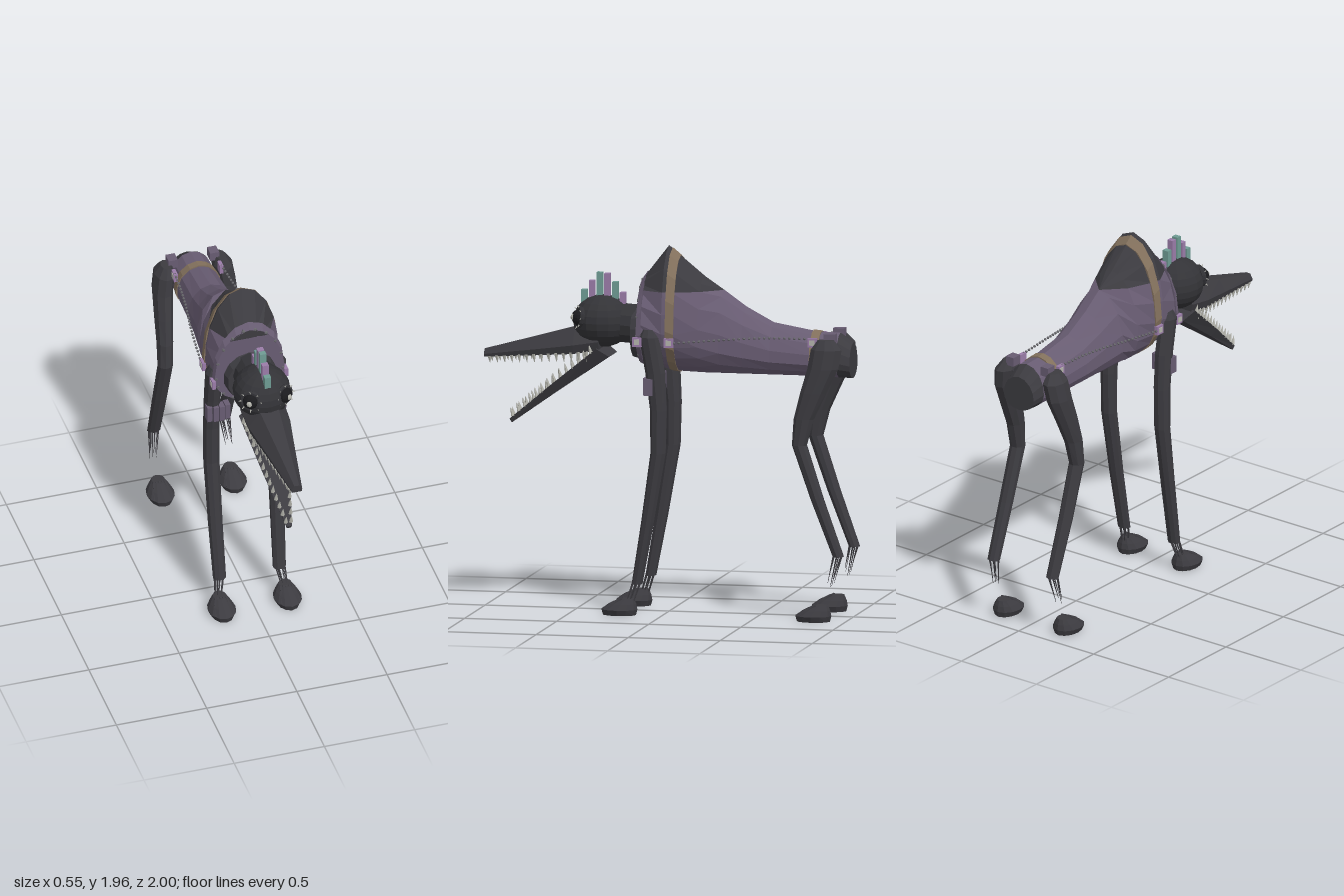
import * as THREE from 'three';

const mat = (name, color) => {
  const m = new THREE.MeshStandardMaterial({ color });
  m.name = name;
  return m;
};
const V = (x, y, z) => new THREE.Vector3(x, y, z);

export function createModel() {
  const root = new THREE.Group();
  root.name = 'longBeakedBeast';
  const dark = mat('charcoal', 0x3c3b40), head = mat('dark slate', 0x333337), purple = mat('dusty purple', 0x685c72);
  const tan = mat('leather tan', 0x82705c), bone = mat('bone', 0xb4b4ac), teal = mat('teal', 0x6f9c94);
  const lilac = mat('lilac', 0x9a7ca8), black = mat('eye black', 0x1b1b1e), metal = mat('stud grey', 0x66666a);

  const add = (name, geo, m, parent = root) => {
    const g = geo.index ? geo.toNonIndexed() : geo;
    g.computeVertexNormals();
    const mesh = new THREE.Mesh(g, m);
    mesh.name = name;
    parent.add(mesh);
    return mesh;
  };
  // closed solid through a list of equal-length rings, turned outward by its signed volume
  const loft = (rings) => {
    const n = rings[0].length, pts = rings.flat(), idx = [];
    for (let i = 0; i < rings.length - 1; i++) for (let j = 0; j < n; j++) {
      const a = i * n + j, b = i * n + (j + 1) % n;
      idx.push(a, b, b + n, a, b + n, a + n);
    }
    const last = (rings.length - 1) * n;
    for (let j = 1; j < n - 1; j++) idx.push(0, j + 1, j, last, last + j, last + j + 1);
    let vol = 0;
    for (let i = 0; i < idx.length; i += 3)
      vol += pts[idx[i]].dot(pts[idx[i + 1]].clone().cross(pts[idx[i + 2]]));
    if (vol < 0) idx.reverse();
    return new THREE.BufferGeometry().setFromPoints(pts).setIndex(idx);
  };
  // tapered rod between two points
  const rod = (name, a, b, ra, rb, m, parent, sides = 5) => {
    const d = b.clone().sub(a);
    const mesh = add(name, new THREE.CylinderGeometry(rb, ra, d.length(), sides), m, parent);
    mesh.position.copy(a).addScaledVector(d, 0.5);
    mesh.quaternion.setFromUnitVectors(V(0, 1, 0), d.normalize());
  };
  const box = (name, w, h, d, x, y, z, m, parent) =>
    add(name, new THREE.BoxGeometry(w, h, d), m, parent).position.set(x, y, z);

  // torso profile: z, top, bottom, half width
  const keys = [[0.14, 1.78, 1.33, 0.19], [0, 1.96, 1.3, 0.2], [-0.05, 1.92, 1.29, 0.198], [-0.19, 1.8, 1.285, 0.178],
    [-0.3, 1.73, 1.285, 0.16], [-0.42, 1.645, 1.285, 0.142], [-0.57, 1.565, 1.285, 0.128], [-0.8, 1.525, 1.285, 0.12],
    [-0.93, 1.52, 1.28, 0.115], [-1, 1.47, 1.28, 0.1]];
  const profile = (z) => {
    let i = 0;
    while (i < keys.length - 2 && z < keys[i + 1][0]) i++;
    const t = (keys[i][0] - z) / (keys[i][0] - keys[i + 1][0]);
    return keys[i].map((v, k) => THREE.MathUtils.lerp(v, keys[i + 1][k], t));
  };
  const around = (z, a, grow = 0) => {
    const [, top, bottom, half] = profile(z);
    const cy = bottom + (top - bottom) * 0.34 + 0.01, c = Math.cos(a);
    return V((half + grow) * Math.sin(a), cy + c * ((c > 0 ? top - cy : cy - bottom) + grow), z);
  };
  const seam = (z) => {
    const [, top, bottom] = profile(z), cy = bottom + (top - bottom) * 0.34 + 0.01;
    return Math.acos(Math.min(1, (1.73 - cy) / (top - cy)));
  };
  const arc = (z, from, to, n, closed, grow) =>
    Array.from({ length: n }, (_, i) => around(z, from + (to - from) * i / (closed ? n : n - 1), grow));
  const ring = (z, grow) => arc(z, 0, Math.PI * 2, 16, true, grow);
  const zs = keys.map((k) => k[0]);
  add('torso', loft(zs.slice(0, 9).map((z) => arc(z, seam(z), Math.PI * 2 - seam(z), 15))), purple);
  add('hump', loft(zs.slice(0, 5).map((z) => arc(z, -seam(z), seam(z), 7))), dark);
  add('pelvis', loft([ring(-0.93, 0), ring(-1, 0)]), dark);
  add('chestCollar', loft([ring(0.115, 0.008), ring(0.14, 0.004)]), purple);
  add('shoulderStrap', loft([ring(-0.02, 0.006), ring(-0.065, 0.006)]), tan);
  add('rearStrap', loft([ring(-0.785, 0.006), ring(-0.83, 0.006)]), tan);

  // collar studs and neck
  for (let i = 0; i < 18; i++) {
    const p = around(0.135, (i + 0.5) / 18 * Math.PI * 2, -0.005);
    add('collarStud', new THREE.IcosahedronGeometry(0.011, 0), metal).position.copy(p);
  }
  rod('neckBase', V(0, 1.49, 0.12), V(0, 1.49, 0.185), 0.15, 0.135, dark, root, 14);
  rod('neck', V(0, 1.53, 0.15), V(0, 1.54, 0.28), 0.105, 0.105, head, root, 12);

  // head and crest
  const skull = add('skull', new THREE.SphereGeometry(1, 16, 12), head);
  skull.scale.set(0.155, 0.14, 0.16);
  skull.position.set(0, 1.545, 0.36);
  [1.71, 1.76, 1.805, 1.8, 1.755, 1.7].forEach((top, i) =>
    box('crestBar', 0.035, top - 1.64, 0.03, 0, (top + 1.64) / 2, 0.46 - i * 0.042, i % 2 ? lilac : teal));

  // upper beak: z, half width, top, bottom
  const beak = [[0.36, 0.12, 1.53, 1.4], [0.5, 0.115, 1.51, 1.375], [0.7, 0.08, 1.455, 1.358], [1, 0.03, 1.375, 1.335]];
  add('upperBeak', loft(beak.map(([z, w, t, b]) => {
    const m = b + (t - b) * 0.35;
    return [V(-w * 0.45, t, z), V(w * 0.45, t, z), V(w, m, z), V(w * 0.9, b, z), V(-w * 0.9, b, z), V(-w, m, z)];
  })), dark);
  // lower jaw
  const jaw = [[0.13, 1.41, 0.37, 1.365, 0.305], [0.075, 1.2, 0.63, 1.16, 0.605], [0.014, 1.005, 0.865, 0.985, 0.852]];
  add('lowerJaw', loft(jaw.map(([w, ty, tz, by, bz]) =>
    [V(-w, ty, tz), V(w, ty, tz), V(w * 0.75, by, bz), V(-w * 0.75, by, bz)])), dark);

  // torso side bead cords
  const beadCurve = new THREE.CatmullRomCurve3([V(0.205, 1.465, -0.07), V(0.185, 1.485, -0.3), V(0.15, 1.5, -0.55), V(0.128, 1.5, -0.79)]);

  for (const s of [1, -1]) {
    const side = new THREE.Group();
    side.name = s > 0 ? 'leftSide' : 'rightSide';
    root.add(side);

    // teeth
    for (let i = 0; i < 14; i++) {
      const t = i / 13, z = 0.43 + 0.54 * t;
      const w = 0.108 - 0.08 * t, y = 1.39 - 0.05 * t;
      rod('upperTooth', V(s * w, y, z), V(s * w, y - 0.055 + 0.02 * t, z - 0.004), 0.012, 0.001, bone, side);
      const u = 0.06 + 0.9 * t;
      const p = V(s * (0.12 - 0.11 * u), 1.405 - 0.4 * u, 0.37 + 0.495 * u);
      rod('lowerTooth', p, p.clone().add(V(0, 0.055 - 0.01 * t, 0.012)), 0.012, 0.001, bone, side);
    }

    // eye with rim, glint and lashes
    const eye = new THREE.Group();
    eye.name = 'eye';
    eye.position.set(s * 0.092, 1.572, 0.465);
    eye.rotation.set(-0.1, s * 0.5, 0);
    side.add(eye);
    add('eyeball', new THREE.SphereGeometry(0.045, 10, 8), black, eye);
    add('eyeRim', new THREE.TorusGeometry(0.048, 0.013, 6, 14), head, eye);
    add('pupil', new THREE.SphereGeometry(0.018, 8, 6), bone, eye).position.z = 0.034;
    for (let i = 0; i < 8; i++) {
      const a = i / 8 * Math.PI * 2, c = Math.cos(a), n = Math.sin(a);
      rod('lash', V(c * 0.05, n * 0.05, 0.008), V(c * 0.064, n * 0.064, 0.02), 0.005, 0.001, bone, eye, 4);
    }

    // legs: x, y, z, half width, half depth
    const leg = (name, rows) => add(name, loft(rows.map(([x, y, z, rx, rz]) =>
      Array.from({ length: 9 }, (_, i) => {
        const a = i / 9 * Math.PI * 2;
        return V(s * (x + rx * Math.cos(a)), y, z + rz * Math.sin(a));
      }))), dark, side);
    leg('frontLeg', [[0.175, 1.53, 0.07, 0.025, 0.035], [0.178, 1.49, 0.068, 0.045, 0.055], [0.176, 1.3, 0.035, 0.045, 0.055],
      [0.176, 1.1, 0.018, 0.045, 0.046], [0.176, 0.87, 0.02, 0.044, 0.042], [0.172, 0.5, 0.078, 0.04, 0.035], [0.166, 0.165, 0.137, 0.036, 0.029]]);
    leg('rearLeg', [[0.15, 1.5, -0.885, 0.03, 0.045], [0.16, 1.45, -0.89, 0.055, 0.085], [0.175, 1.35, -0.875, 0.055, 0.085],
      [0.185, 1.22, -0.825, 0.05, 0.072], [0.192, 1.08, -0.775, 0.045, 0.056], [0.196, 0.94, -0.752, 0.042, 0.041],
      [0.198, 0.65, -0.85, 0.04, 0.036], [0.196, 0.35, -0.962, 0.036, 0.03]]);

    // tendon strands under each leg
    for (let i = 0; i < 6; i++) {
      const a = i / 6 * Math.PI * 2, c = Math.cos(a), n = Math.sin(a);
      rod('frontTendon', V(s * (0.168 + 0.026 * c), 0.18, 0.137 + 0.022 * n), V(s * (0.182 + 0.018 * c), 0.075, 0.17 + 0.022 * n), 0.005, 0.003, dark, side, 4);
      rod('rearTendon', V(s * (0.196 + 0.028 * c), 0.36, -0.96 + 0.024 * n), V(s * (0.21 + 0.018 * c), 0.19 + 0.02 * (i % 3), -0.925 + 0.018 * n), 0.005, 0.001, dark, side, 4);
    }

    // feet: flat soles with a domed, forward-sloping top
    for (const [name, x, z0] of [['frontFoot', 0.182, 0.23], ['rearFoot', 0.2, -0.827]]) {
      const foot = [[0, 0.062, 0.09, 0], [0.03, 0.076, 0.098, 0], [0.06, 0.058, 0.074, -0.018], [0.088, 0.036, 0.04, -0.04]];
      add(name, loft(foot.map(([y, rx, rz, dz]) => Array.from({ length: 12 }, (_, i) => {
        const a = i / 12 * Math.PI * 2;
        return V(s * (x + rx * Math.cos(a)), y, z0 + dz + rz * Math.sin(a));
      }))), dark, side);
      for (let i = -2; i <= 2; i++)
        rod('toeRidge', V(s * (x + i * 0.014), 0.086, z0 - 0.02), V(s * (x + i * 0.024), 0.028, z0 + 0.088 - Math.abs(i) * 0.012), 0.009, 0.007, dark, side);
    }

    // forearm plates
    for (let i = 0; i < 4; i++)
      box('forearmPlate', 0.028, 0.09, 0.05, s * (0.105 + i * 0.033), 1.225, 0.075 - (i % 3 ? 0 : 0.008), purple, side);

    // buckles and side beads
    for (const [x, y, z] of [[0.2, 1.465, 0.13], [0.203, 1.465, -0.042], [0.127, 1.48, -0.805]]) {
      box('buckle', 0.02, 0.05, 0.05, s * x, y, z, lilac, side);
      box('buckleFace', 0.006, 0.028, 0.028, s * (x + 0.01), y, z, bone, side);
    }
    box('hipPad', 0.05, 0.05, 0.06, s * 0.115, 1.505, -0.9, purple, side);
    for (const p of beadCurve.getSpacedPoints(27)) {
      const bead = add('bead', new THREE.IcosahedronGeometry(0.008, 0), metal, side);
      bead.position.set(s * p.x, p.y, p.z);
    }
  }
  return root;
}
